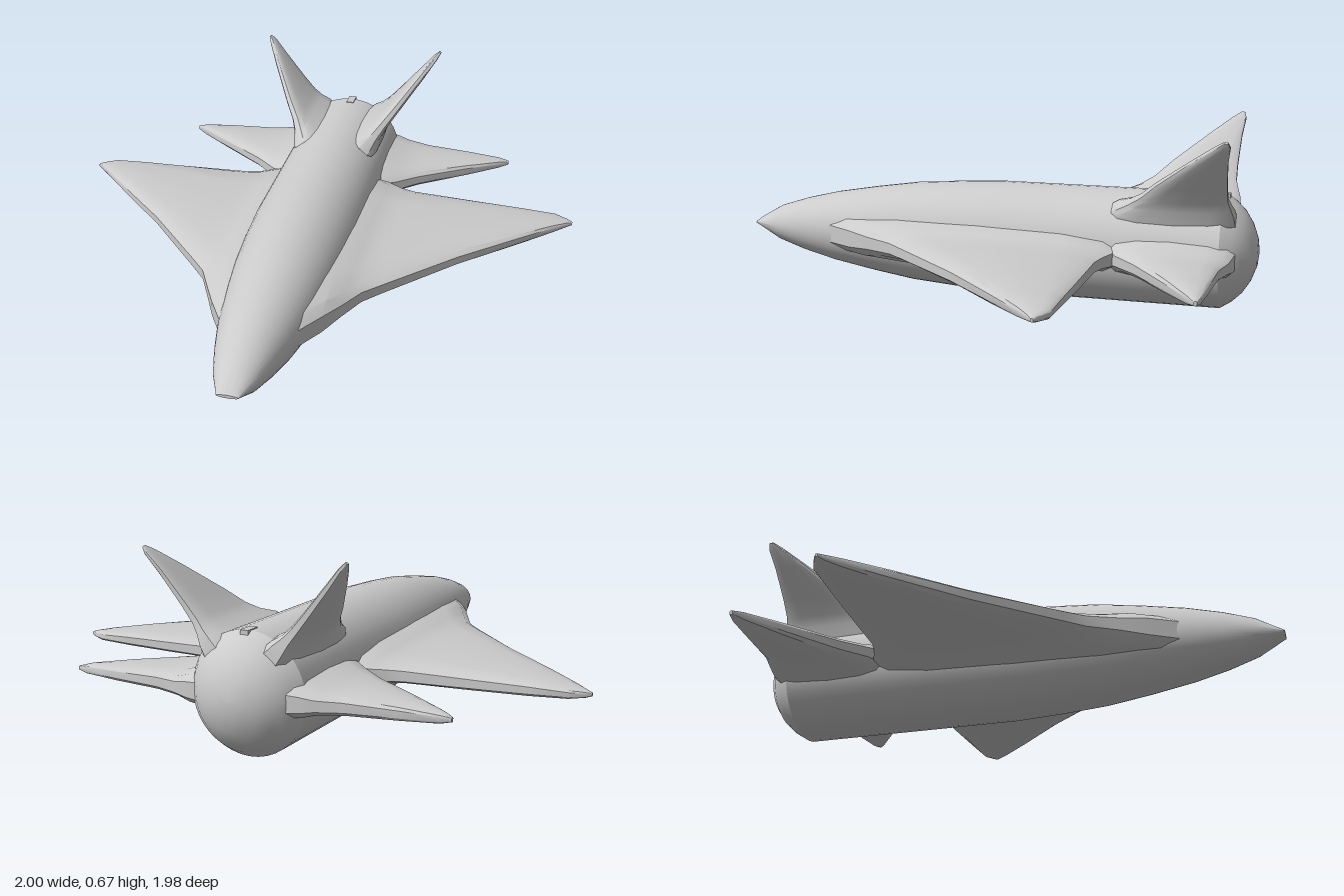
import * as THREE from 'three';
import { toCreasedNormals } from 'three/addons/utils/BufferGeometryUtils.js';

const AXIS_Y = 0.218; // height of the fuselage centreline
const material = new THREE.MeshStandardMaterial({ color: 0xcccccc });

// Skin a list of equal-length closed rings, with both ends capped
function loft(rings, crease) {
  const n = rings[0].length, index = [];
  for (let i = 0; i < rings.length - 1; i++) {
    for (let j = 0; j < n; j++) {
      const a = i * n + j, b = i * n + (j + 1) % n;
      index.push(a, a + n, b, b, a + n, b + n);
    }
  }
  const last = (rings.length - 1) * n;
  for (let j = 1; j < n - 1; j++) {
    index.push(0, j, j + 1);
    index.push(last, last + j + 1, last + j);
  }
  const geometry = new THREE.BufferGeometry().setFromPoints(rings.flat());
  geometry.setIndex(index);
  return toCreasedNormals(geometry, crease);
}

function addMesh(parent, name, geometry) {
  const mesh = new THREE.Mesh(geometry, material);
  mesh.name = name;
  parent.add(mesh);
  return mesh;
}

// Fuselage stations: z, half width, half height
const BODY = [
  [0.99, 0.038, 0.006], [0.975, 0.044, 0.018], [0.89, 0.08, 0.068], [0.78, 0.112, 0.104],
  [0.65, 0.142, 0.136], [0.48, 0.17, 0.166], [0.32, 0.19, 0.19], [0.15, 0.203, 0.203],
  [-0.03, 0.212, 0.212], [-0.86, 0.212, 0.212],
];

// Rounded tail dome
const DOME = [
  [-0.86, 0.212, 0.212], [-0.9, 0.186, 0.186], [-0.935, 0.152, 0.152],
  [-0.965, 0.105, 0.105], [-0.985, 0.05, 0.05], [-0.99, 0.004, 0.004],
];

function ovalRings(stations, sides = 40) {
  return stations.map(([z, rx, ry]) => Array.from({ length: sides }, (_, j) => {
    const a = (j / sides) * Math.PI * 2;
    return new THREE.Vector3(Math.cos(a) * rx, AXIS_Y + Math.sin(a) * ry, z);
  }));
}

// Blade section: chord fraction, share of the half thickness
const SECTION = [[0, 0.4], [0.06, 0.75], [0.22, 0.95], [0.5, 1], [0.8, 0.9], [0.95, 0.7], [1, 0.4]];
const LOOP = [...SECTION, ...SECTION.map(([c, t]) => [c, -t]).reverse()];

// Blade stations: distance from centreline, leading z, trailing z, half thickness
const WING = [
  [0.1, 0.7, -0.5, 0.085], [0.2, 0.53, -0.5, 0.08], [0.25, 0.43, -0.49, 0.058],
  [0.3, 0.33, -0.465, 0.05], [0.36, 0.262, -0.45, 0.046], [0.6, 0, -0.44, 0.038],
  [0.8, -0.19, -0.43, 0.03], [0.93, -0.315, -0.424, 0.02], [0.98, -0.363, -0.4, 0.012],
  [1, -0.378, -0.387, 0.006],
];
const TAIL = [
  [0.13, -0.45, -0.92, 0.08], [0.21, -0.47, -0.91, 0.066], [0.26, -0.505, -0.9, 0.047],
  [0.35, -0.585, -0.875, 0.04], [0.53, -0.71, -0.862, 0.03], [0.66, -0.8, -0.852, 0.018],
  [0.7, -0.83, -0.842, 0.008],
];
const FIN = [
  [0.17, -0.44, -0.91, 0.07], [0.215, -0.47, -0.905, 0.055], [0.25, -0.53, -0.895, 0.036],
  [0.29, -0.58, -0.885, 0.028], [0.36, -0.64, -0.884, 0.023], [0.49, -0.77, -0.89, 0.016],
  [0.565, -0.848, -0.9, 0.01], [0.59, -0.878, -0.893, 0.005],
];

// Blade standing out from the centreline at an angle; side -1 mirrors it
function blade(stations, angle, side) {
  const cos = Math.cos(angle), sin = Math.sin(angle);
  const rings = stations.map(([s, lead, trail, half]) => {
    const ring = LOOP.map(([c, t]) => new THREE.Vector3(
      side * (s * cos - t * half * sin),
      AXIS_Y + s * sin + t * half * cos,
      lead + (trail - lead) * c,
    ));
    return side < 0 ? ring.reverse() : ring;
  });
  return loft(rings, 0.6);
}

export function createModel() {
  const model = new THREE.Group();
  model.name = 'spaceplane';

  addMesh(model, 'fuselage', loft(ovalRings(BODY), 0.5));
  addMesh(model, 'tailDome', loft(ovalRings(DOME), 0.6));

  // Main wings, tailplanes and the V-shaped fins
  for (const [side, label] of [[1, 'left'], [-1, 'right']]) {
    addMesh(model, label + 'Wing', blade(WING, 0, side));
    addMesh(model, label + 'Tailplane', blade(TAIL, 0, side));
    addMesh(model, label + 'Fin', blade(FIN, 0.89, side));
  }

  // Small ridge on the back between the fins
  const ridge = addMesh(model, 'rearRidge', new THREE.BoxGeometry(0.03, 0.03, 0.06));
  ridge.position.set(0, AXIS_Y + 0.199, -0.85);

  return model;
}
